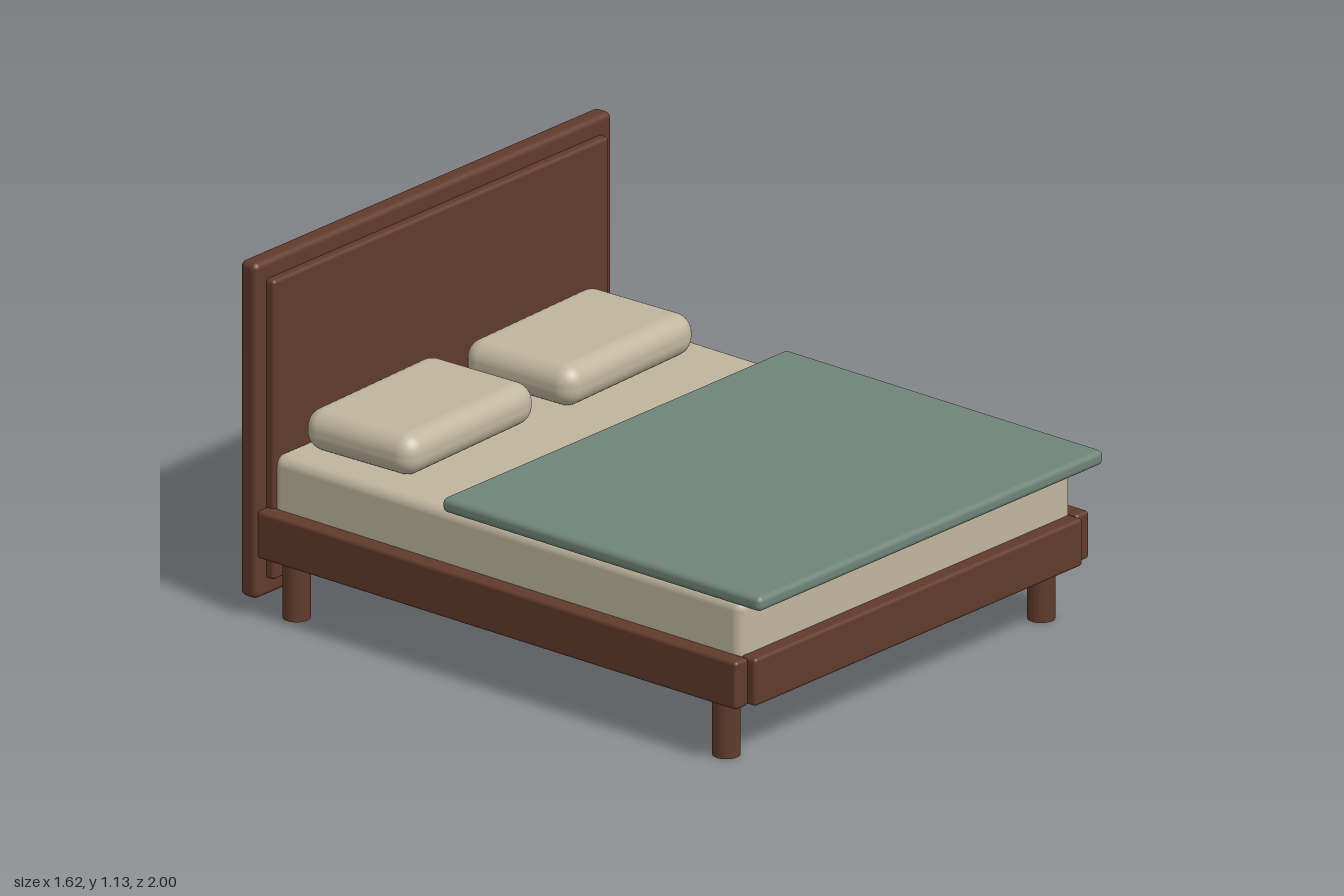
import * as THREE from 'three';
import { RoundedBoxGeometry } from 'three/addons/geometries/RoundedBoxGeometry.js';

function material(name, color) {
  const m = new THREE.MeshStandardMaterial({ color });
  m.name = name;
  return m;
}

export function createModel() {
  const bed = new THREE.Group();
  bed.name = 'bed';
  const wood = material('walnut wood', 0x613b2c);
  const linen = material('beige linen', 0xc0b69e);
  const wool = material('sage blanket', 0x6f8479);

  // Rounded box given by its extents along each axis
  function block(name, mat, [x0, x1], [y0, y1], [z0, z1], radius, segments = 4) {
    const mesh = new THREE.Mesh(
      new RoundedBoxGeometry(x1 - x0, y1 - y0, z1 - z0, segments, radius), mat);
    mesh.position.set((x0 + x1) / 2, (y0 + y1) / 2, (z0 + z1) / 2);
    mesh.name = name;
    bed.add(mesh);
    return mesh;
  }

  // Headboard with a raised front panel
  block('headboard', wood, [-0.808, 0.808], [0.06, 1.126], [-1, -0.935], 0.02);
  block('headboardPanel', wood, [-0.76, 0.76], [0.117, 1.068], [-0.945, -0.906], 0.012);

  // Frame rails
  block('footRail', wood, [-0.742, 0.742], [0.192, 0.344], [0.89, 0.95], 0.012);
  block('leftRail', wood, [0.742, 0.801], [0.192, 0.344], [-0.94, 0.925], 0.012);
  block('rightRail', wood, [-0.801, -0.742], [0.192, 0.344], [-0.94, 0.925], 0.012);

  // Round legs
  const legGeometry = new THREE.CylinderGeometry(0.042, 0.042, 0.245, 32);
  for (const x of [-0.713, 0.713]) {
    for (const z of [0.812, -0.858]) {
      const leg = new THREE.Mesh(legGeometry, wood);
      leg.position.set(x, 0.1225, z);
      leg.name = `${z > 0 ? 'front' : 'back'}${x > 0 ? 'Left' : 'Right'}Leg`;
      bed.add(leg);
    }
  }

  // Bedding
  block('mattress', linen, [-0.752, 0.752], [0.28, 0.514], [-0.92, 0.902], 0.035);
  block('blanket', wool, [-0.781, 0.781], [0.515, 0.562], [-0.238, 1], 0.018);
  for (const side of [-1, 1]) {
    const x = side * 0.362;
    const pillow = block(side > 0 ? 'leftPillow' : 'rightPillow', linen,
      [x - 0.306, x + 0.306], [0.512, 0.645], [-0.89, -0.472], 0.06, 6);
    pillow.rotation.y = 0.037;
  }

  return bed;
}
